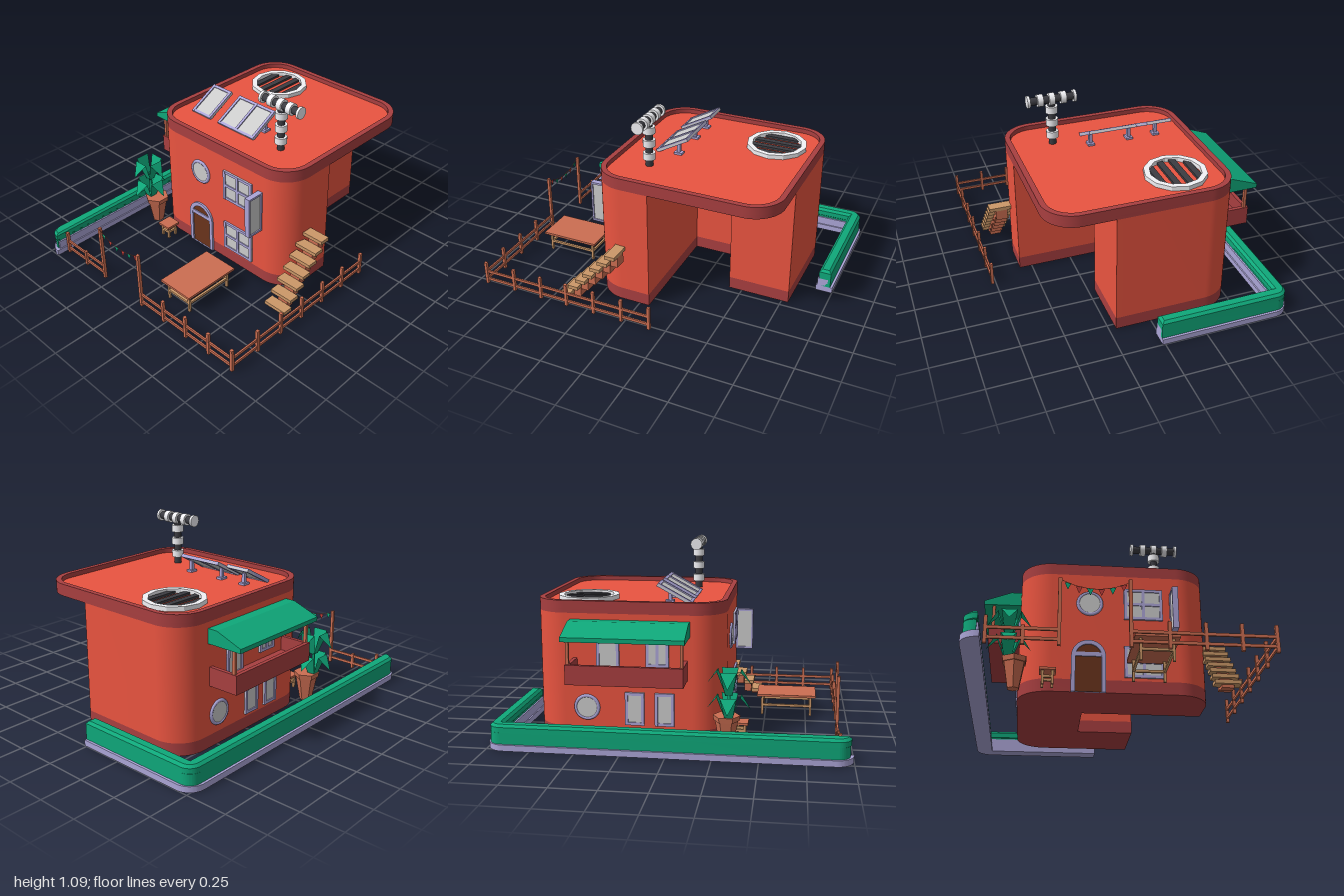
import * as THREE from 'three';
import { toCreasedNormals } from 'three/addons/utils/BufferGeometryUtils.js';

const mat = (color, double) => new THREE.MeshStandardMaterial({ color, side: double ? THREE.DoubleSide : THREE.FrontSide });
const M = {
  wall: mat(0xea5440), trim: mat(0xa83f40), lilac: mat(0xaca6d8), green: mat(0x0fa87a), leaf: mat(0x0fa87a, true),
  wood: mat(0xcc6e52), tan: mat(0xcc9868), glass: mat(0xcccccc), dark: mat(0x3c3c42),
  white: mat(0xf2f2f6), door: mat(0x6a341c), redFlag: mat(0xc03e3a, true),
};

export function createModel() {
  const root = new THREE.Group();
  const add = (name, geo, m, parent = root) => {
    const mesh = new THREE.Mesh(geo, m);
    mesh.name = name;
    parent.add(mesh);
    return mesh;
  };
  const group = (name, parent = root) => {
    const g = new THREE.Group();
    g.name = name;
    parent.add(g);
    return g;
  };
  // box given by its limits
  const box = (name, m, x0, x1, y0, y1, z0, z1, parent) => {
    const b = add(name, new THREE.BoxGeometry(x1 - x0, y1 - y0, z1 - z0), m, parent);
    b.position.set((x0 + x1) / 2, (y0 + y1) / 2, (z0 + z1) / 2);
    return b;
  };
  // plan shape (x, z) raised between two heights
  const slab = (name, m, shape, y0, y1, bevel = 0) => {
    const g = new THREE.ExtrudeGeometry(shape, {
      depth: y1 - y0 - 2 * bevel, curveSegments: 10, bevelEnabled: bevel > 0, bevelSize: bevel, bevelOffset: -bevel,
      bevelThickness: bevel, bevelSegments: 1,
    });
    g.rotateX(Math.PI / 2).translate(0, y1 - bevel, 0);
    return add(name, toCreasedNormals(g, 0.5), m);
  };
  const P = Math.PI;
  const roundPlan = (o, Kind = THREE.Shape) => {
    const s = new Kind(), r = 0.18 - o;
    s.absarc(0.395, 0.115, r, 0, P / 2);
    s.absarc(-0.33, 0.115, r, P / 2, P);
    s.absarc(-0.33, -0.61, r, P, 1.5 * P);
    s.absarc(0.395, -0.61, r, 1.5 * P, 2 * P);
    s.closePath();
    return s;
  };

  // House body with a stepped recess at the back corner
  const plan = new THREE.Shape();
  plan.moveTo(0.575, -0.06);
  plan.lineTo(0.575, 0.115);
  plan.absarc(0.395, 0.115, 0.18, 0, P / 2);
  plan.absarc(-0.33, 0.115, 0.18, P / 2, P);
  plan.absarc(-0.33, -0.61, 0.18, P, 1.5 * P);
  [[0.21, -0.79], [0.21, -0.42], [-0.13, -0.42], [-0.13, -0.06]].forEach(([x, z]) => plan.lineTo(x, z));
  plan.closePath();
  slab('basePlinth', M.trim, plan, 0, 0.075);
  slab('houseWalls', M.wall, plan, 0.075, 0.73);
  slab('roofSlab', M.trim, roundPlan(0), 0.73, 0.755);
  slab('roofDeck', M.wall, roundPlan(0.03), 0.755, 0.772);
  const rim = roundPlan(0);
  rim.holes.push(roundPlan(0.032, THREE.Path));
  slab('roofRim', M.trim, rim, 0.755, 0.8);
  box('recessCeiling', M.wall, -0.13, 0.21, 0.727, 0.735, -0.42, -0.06);

  // Windows, built facing +z
  const place = (g, x, y, z, ry = 0) => { g.position.set(x, y, z); g.rotation.y = ry; return g; };
  const windowUnit = (name, w, h, cols, rows, parent) => {
    const g = group(name, parent), t = 0.017;
    box('glass', M.glass, -w / 2, w / 2, -h / 2, h / 2, -0.006, 0.004, g);
    for (let i = 0; i <= cols; i++) {
      const x = (-0.5 + i / cols) * (w - t);
      box('upright', M.lilac, x - t / 2, x + t / 2, -h / 2, h / 2, -0.01, 0.011, g);
    }
    for (let i = 0; i <= rows; i++) {
      const y = (-0.5 + i / rows) * (h - t);
      box('crossbar', M.lilac, -w / 2, w / 2, y - t / 2, y + t / 2, -0.01, 0.01, g);
    }
    return g;
  };
  const roundWindow = (name, r) => {
    const g = group(name);
    add('glass', new THREE.CylinderGeometry(r * 0.85, r * 0.85, 0.012, 24).rotateX(P / 2), M.glass, g);
    add('frame', new THREE.TorusGeometry(r * 0.88, r * 0.13, 8, 28), M.lilac, g);
    return g;
  };
  place(windowUnit('upperWindow', 0.225, 0.195, 2, 2), 0.198, 0.548, 0.297);
  place(windowUnit('lowerWindow', 0.225, 0.19, 2, 2), 0.198, 0.187, 0.297);
  place(roundWindow('frontRoundWindow', 0.077), -0.112, 0.545, 0.297);
  place(roundWindow('sideRoundWindow', 0.075), -0.512, 0.19, -0.485, -P / 2);
  for (const z of [-0.21, -0.04]) place(windowUnit('sideWindow', 0.11, 0.19, 1, 1), -0.512, 0.19, z, -P / 2);
  place(windowUnit('balconyDoor', 0.13, 0.22, 1, 1), -0.512, 0.485, -0.36, -P / 2);
  place(windowUnit('balconyWindow', 0.13, 0.16, 2, 1), -0.512, 0.515, -0.08, -P / 2);
  const shutter = group('openShutter');
  box('panel', M.glass, 0.36, 0.38, 0.375, 0.615, 0.305, 0.395, shutter);
  for (const y of [0.365, 0.613]) box('rail', M.lilac, 0.353, 0.387, y, y + 0.012, 0.295, 0.403, shutter);
  for (const z of [0.295, 0.392]) box('stile', M.lilac, 0.353, 0.387, 0.365, 0.625, z, z + 0.011, shutter);

  // Arched front door
  const arch = (r, Kind = THREE.Shape) => {
    const s = new Kind();
    s.moveTo(-r, 0); s.lineTo(r, 0);
    s.absarc(0, 0.213, r, 0, P); s.lineTo(-r, 0);
    return s;
  };
  const door = place(group('frontDoor'), -0.117, 0, 0.29);
  const frame = arch(0.098);
  frame.holes.push(arch(0.074, THREE.Path));
  add('doorLeaf', new THREE.ExtrudeGeometry(arch(0.08), { depth: 0.008, bevelEnabled: false }), M.door, door);
  add('doorFrame', toCreasedNormals(new THREE.ExtrudeGeometry(frame, { depth: 0.017, bevelEnabled: false }), 0.5), M.lilac, door);
  box('transom', M.lilac, -0.08, 0.08, 0.213, 0.238, 0, 0.015, door);

  // Balcony and awning
  const balcony = group('balcony');
  box('floor', M.trim, -0.69, -0.5, 0.365, 0.39, -0.56, 0.09, balcony);
  box('outerWall', M.trim, -0.695, -0.672, 0.365, 0.475, -0.56, 0.09, balcony);
  for (const z of [-0.56, 0.067]) {
    box('endWall', M.trim, -0.69, -0.5, 0.365, 0.475, z, z + 0.023, balcony);
    box('awningPost', M.wood, -0.68, -0.662, 0.47, 0.62, z + 0.003, z + 0.02, balcony);
  }
  const roofProfile = new THREE.Shape([[-0.73, 0.61], [-0.5, 0.61], [-0.5, 0.695], [-0.57, 0.695], [-0.73, 0.635]].map(p => new THREE.Vector2(...p)));
  add('awning', new THREE.ExtrudeGeometry(roofProfile, { depth: 0.675, bevelEnabled: false }).translate(0, 0, -0.573), M.green);

  // Roof vent
  const vent = place(group('roofVent'), -0.23, 0.77, -0.53);
  const ring = new THREE.Shape(), hole = new THREE.Path();
  for (let i = 0; i < 12; i++) {
    const a = (i * P) / 6, c = Math.cos(a), s = Math.sin(a);
    i ? ring.lineTo(0.18 * c, 0.18 * s) : ring.moveTo(0.18 * c, 0.18 * s);
    i ? hole.lineTo(0.147 * c, 0.147 * s) : hole.moveTo(0.147 * c, 0.147 * s);
  }
  ring.holes.push(hole);
  add('ventRing', new THREE.ExtrudeGeometry(ring, { depth: 0.028, bevelEnabled: false }).rotateX(-P / 2), M.white, vent);
  for (const x of [-0.11, -0.037, 0.037, 0.11]) {
    const l = Math.sqrt(0.15 ** 2 - x * x);
    box('ventSlat', M.dark, x - 0.019, x + 0.019, 0, 0.016, -l, l, vent);
  }

  // Tilted solar panels
  for (const [x, w, cols] of [[-0.31, 0.155, 1], [-0.02, 0.29, 2]]) {
    const g = place(group('solarPanel'), x, 0.828, -0.002);
    const tilt = windowUnit('panelFace', w, 0.222, cols, 1, g);
    tilt.rotation.x = -P / 2 + 0.5;
    for (const s of cols === 1 ? [0] : [-0.12, 0.12]) {
      box('stand', M.lilac, s - 0.01, s + 0.01, -0.058, 0.012, -0.045, -0.025, g);
      box('standFoot', M.lilac, s - 0.02, s + 0.02, -0.058, -0.043, -0.06, -0.01, g);
    }
  }

  // Segmented T-shaped antenna
  const antenna = place(group('antenna'), 0.305, 0, 0.055);
  const cyl = (name, m, r, l, x, y, flat) => {
    const c = add(name, new THREE.CylinderGeometry(r, r, l, 16), m, antenna);
    c.position.set(x, y, 0);
    if (flat) c.rotation.z = P / 2;
  };
  cyl('mast', M.dark, 0.022, 0.29, 0, 0.91);
  for (const y of [0.835, 0.915, 0.995]) cyl('mastRing', M.white, 0.036, 0.042, 0, y);
  cyl('crossbar', M.dark, 0.023, 0.28, 0, 1.058, true);
  for (const i of [-2, -1, 0, 1, 2]) cyl('crossbarRing', M.white, 0.036, Math.abs(i) === 2 ? 0.016 : 0.034, i * 0.069, 1.058, true);

  // Hedge on its kerb, wrapping the left side and back (o, i: outer and inner insets)
  const strip = (o, i, zEnd) => {
    const s = new THREE.Shape(), x1 = -0.68 - i, zi = -0.9 - i, r = 0.1 - o - i;
    s.moveTo(0.015, zi - r); s.lineTo(0.015, zi); s.lineTo(x1, zi); s.lineTo(x1, zEnd);
    s.absarc(x1, zEnd - r, r, P / 2, P);
    s.absarc(x1, zi, r, P, 1.5 * P);
    s.closePath();
    return s;
  };
  slab('hedgeKerb', M.lilac, strip(0, 0, 1), 0, 0.035);
  slab('hedgeInnerWall', M.lilac, strip(0.03, 0.008, 0.975), 0.035, 0.085);
  slab('hedgeBody', M.green, strip(0.014, 0.018, 0.98), 0.035, 0.1);
  slab('hedgeTop', M.green, strip(0.014, 0.014, 0.985), 0.085, 0.145, 0.015);

  // Fence runs: posts and two rails
  const fence = group('fence');
  const post = (x, z, h) => box('fencePost', M.wood, x - 0.009, x + 0.009, 0, h, z - 0.009, z + 0.009, fence);
  const H = 0.145;
  [[-0.66, H], [-0.48, 0.1], [-0.305, 0.365]].forEach(([x, h]) => post(x, 0.925, h));
  [[0.045, 0.365], [0.235, H], [0.415, H], [0.595, H], [0.77, H]].forEach(([x, h]) => post(x, 0.935, h));
  for (const z of [0.74, 0.555, 0.38, 0.2, 0.02, -0.155]) post(0.77, z, H);
  for (const y of [0.024, 0.076]) {
    box('rail', M.wood, -0.66, -0.305, y, y + 0.016, 0.92, 0.93, fence);
    box('rail', M.wood, 0.045, 0.77, y, y + 0.016, 0.93, 0.94, fence);
    box('rail', M.wood, 0.765, 0.775, y, y + 0.016, -0.155, 0.935, fence);
  }

  // Pennant string across the gate
  const sag = new THREE.QuadraticBezierCurve3(new THREE.Vector3(-0.3, 0.355, 0.93), new THREE.Vector3(-0.127, 0.265, 0.93), new THREE.Vector3(0.045, 0.355, 0.93));
  const garland = group('garland');
  add('string', new THREE.TubeGeometry(sag, 16, 0.0015, 5), M.wood, garland);
  for (let i = 0; i < 6; i++) {
    const p = sag.getPoint((i + 0.6) / 6.2);
    const tri = new THREE.Shape([[-0.017, 0], [0, -0.038], [0.017, 0]].map(q => new THREE.Vector2(...q)));
    add('pennant', new THREE.ShapeGeometry(tri), i % 2 ? M.redFlag : M.leaf, garland).position.copy(p);
  }

  // Table and stool
  const table = (name, x0, x1, z0, z1, h, inset) => {
    const g = group(name), t = 0.014;
    box('top', M.wood, x0, x1, h - t, h, z0, z1, g);
    for (const x of [x0 + inset, x1 - inset - t]) {
      for (const z of [z0 + inset, z1 - inset - t]) box('leg', M.tan, x, x + t, 0, h - t, z, z + t, g);
      box('sideStretcher', M.tan, x, x + t, h * 0.4, h * 0.4 + t, z0 + inset, z1 - inset, g);
    }
    for (const z of [z0 + inset, z1 - inset - t]) box('endStretcher', M.tan, x0 + inset, x1 - inset, h * 0.4, h * 0.4 + t, z, z + t, g);
  };
  table('table', 0.08, 0.313, 0.45, 0.812, 0.134, 0.025);
  table('stool', -0.392, -0.3, 0.33, 0.422, 0.092, 0.012);

  // Outdoor stairs on a stepped central stringer
  const stairs = group('stairs');
  for (let i = 0; i < 7; i++) {
    const y = 0.03 + i * 0.0545, z = 0.425 - i * 0.051;
    box('tread', M.tan, 0.56, 0.708, y - 0.012, y + 0.01, z - 0.034, z + 0.03, stairs);
    box('stringerStep', M.wood, 0.6, 0.67, Math.max(0, y - 0.075), y - 0.012, z - 0.034, z + 0.012, stairs);
  }

  // Potted palm with two tiers of folded leaves
  const palm = place(group('pottedPalm'), -0.53, 0, 0.31);
  const potPart = (name, top, bottom, h, y) => {
    const g = new THREE.CylinderGeometry(top, bottom, h, 6).toNonIndexed().translate(0, y, 0);
    g.computeVertexNormals();
    add(name, g, M.wood, palm);
  };
  potPart('pot', 0.066, 0.036, 0.155, 0.0775);
  potPart('potRim', 0.077, 0.072, 0.03, 0.165);
  add('stem', new THREE.CylinderGeometry(0.008, 0.012, 0.2, 6).translate(-0.036, 0.25, 0.015), M.green, palm);
  const leafGeo = new THREE.BufferGeometry();
  leafGeo.setAttribute('position', new THREE.Float32BufferAttribute([
    -0.02, -0.14, 0.015, 0.02, -0.14, 0.015, 0.046, 0, 0.065, -0.046, 0, 0.065, 0, -0.08, 0.125], 3));
  leafGeo.setIndex([0, 1, 2, 0, 2, 3, 2, 3, 4]);
  const leaf = leafGeo.toNonIndexed();
  leaf.computeVertexNormals();
  for (const y of [0.445, 0.302]) {
    for (let i = 0; i < 4; i++) place(add('leaf', leaf, M.leaf, palm), -0.036, y, 0.015, i * P / 2);
  }
  return root;
}
